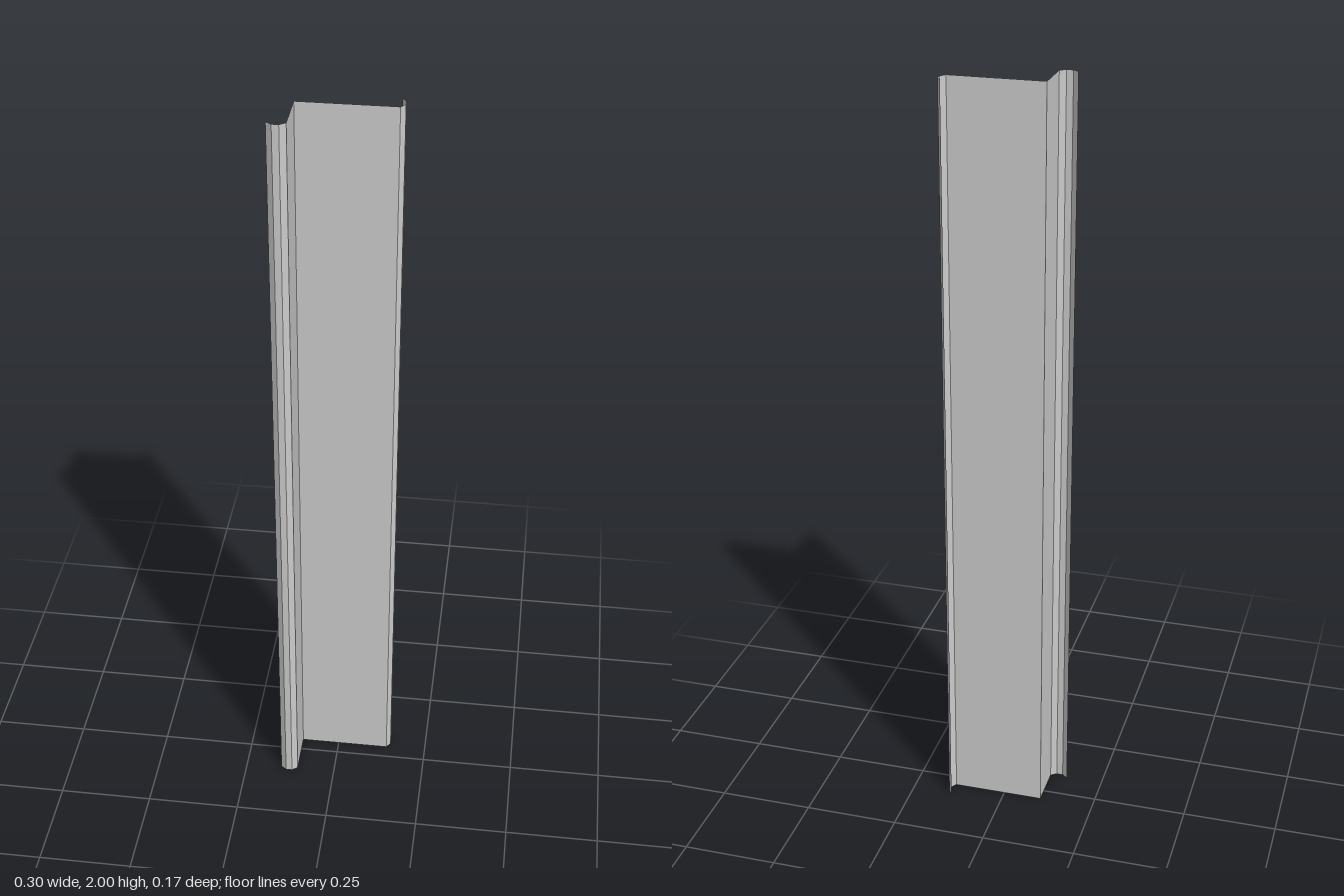
import * as THREE from 'three';

const HEIGHT = 2;
const material = new THREE.MeshStandardMaterial({ color: 0xcccccc, flatShading: true, side: THREE.DoubleSide });

// Thin upright sheet that follows a plan profile of [x, z] points
function sheet(name, profile) {
  const positions = [];
  for (let i = 0; i < profile.length - 1; i++) {
    const [ax, az] = profile[i], [bx, bz] = profile[i + 1];
    positions.push(
      ax, 0, az, bx, 0, bz, bx, HEIGHT, bz,
      ax, 0, az, bx, HEIGHT, bz, ax, HEIGHT, az);
  }
  const geometry = new THREE.BufferGeometry();
  geometry.setAttribute('position', new THREE.Float32BufferAttribute(positions, 3));
  geometry.computeVertexNormals();
  const mesh = new THREE.Mesh(geometry, material);
  mesh.name = name;
  return mesh;
}

export function createModel() {
  const group = new THREE.Group();
  group.name = 'sheetProfile';

  const corner = [-0.104, -0.038];
  const webEnd = [0.139, -0.038];
  const flangeEnd = [-0.104, 0.077];

  // Shallow rounded lip: three facets, 0.047 long and 0.011 deep
  const lip = [[0, 0], [0.015, 0.011], [0.032, 0.011], [0.047, 0]];

  // Wide web and the flange turned forward from its edge
  group.add(sheet('web', [corner, webEnd]));
  group.add(sheet('flange', [flangeEnd, corner]));

  // Lip curling back from the web, bulging outward
  group.add(sheet('webLip', lip.map(([along, out]) => [webEnd[0] + out, webEnd[1] - along])));

  // Lip turned sideways from the flange, bulging forward
  group.add(sheet('flangeLip', lip.map(([along, out]) => [flangeEnd[0] - along, flangeEnd[1] + out]).reverse()));

  return group;
}
